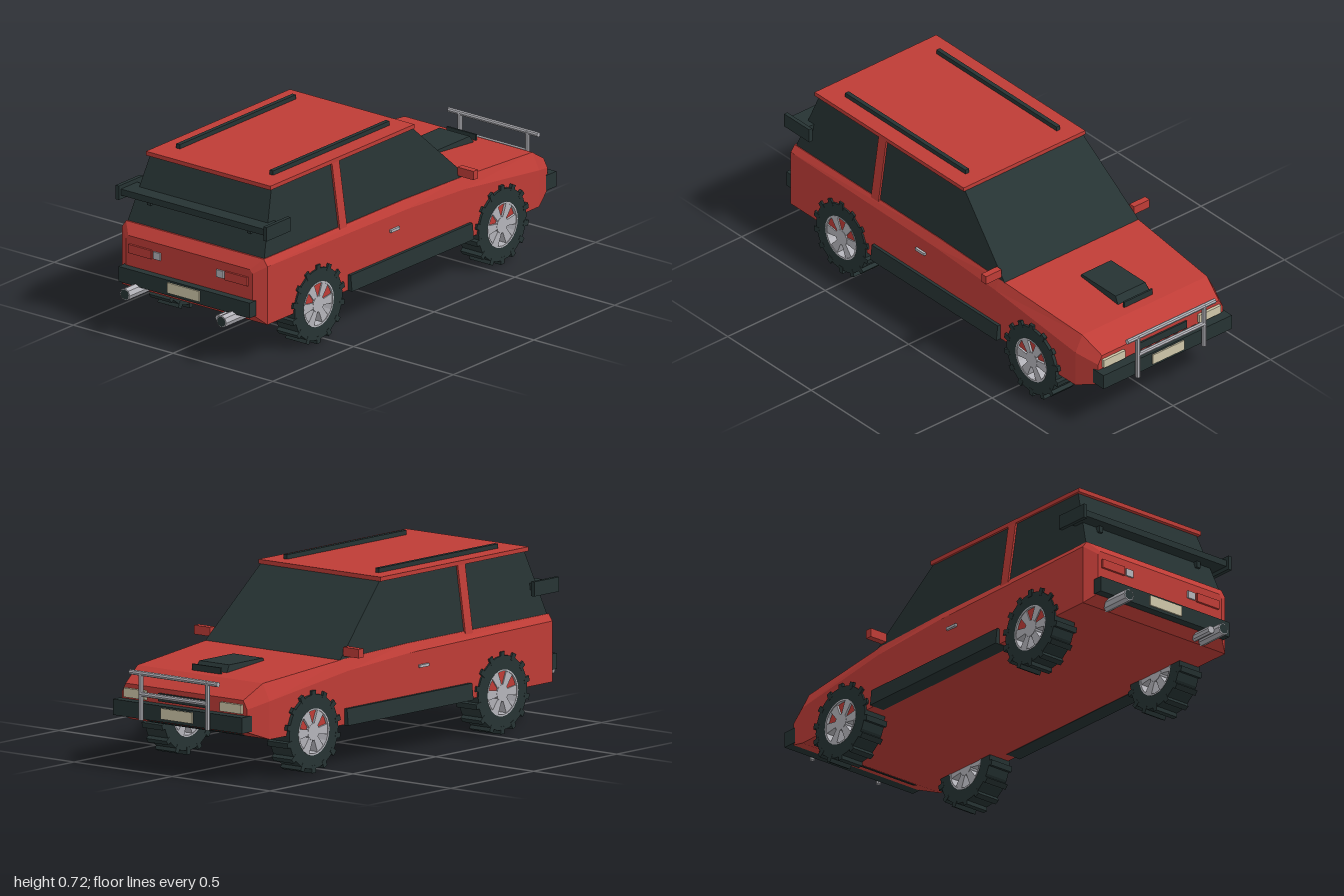
import * as THREE from 'three';

const mat = (name, color, extra = {}) => {
  const m = new THREE.MeshStandardMaterial({ color, flatShading: true, ...extra });
  m.name = name;
  return m;
};

// Closed faceted solid from rings of [x, y, z], each counterclockwise seen from outside the first ring
function loft(rings) {
  const pos = [], n = rings[0].length;
  const tri = (...p) => p.forEach(q => pos.push(...q));
  for (let i = 0; i < rings.length - 1; i++) {
    for (let j = 0; j < n; j++) {
      const k = (j + 1) % n;
      const a = rings[i][j], b = rings[i][k], c = rings[i + 1][k], d = rings[i + 1][j];
      tri(a, d, c);
      tri(a, c, b);
    }
  }
  const last = rings[rings.length - 1];
  for (let j = 1; j < n - 1; j++) {
    tri(rings[0][0], rings[0][j], rings[0][j + 1]);
    tri(last[0], last[j + 1], last[j]);
  }
  const g = new THREE.BufferGeometry();
  g.setAttribute('position', new THREE.Float32BufferAttribute(pos, 3));
  g.computeVertexNormals();
  return g;
}

// Horizontal rectangle ring for upright tapered solids
const rect = (y, w, z0, z1) => [[-w, y, z1], [w, y, z1], [w, y, z0], [-w, y, z0]];

export function createModel() {
  const car = new THREE.Group();
  car.name = 'offRoadCar';
  const red = mat('red paint', 0xbe3c36);
  const dark = mat('dark trim', 0x263333);
  const metal = mat('grey metal', 0xb4b4ba);
  const cream = mat('cream lamp', 0xcfc7a9);

  const add = (name, geo, material, parent = car) => {
    const m = new THREE.Mesh(geo, material);
    m.name = name;
    parent.add(m);
    return m;
  };
  // Box given by its x, y and z ranges
  const box = (name, material, x0, x1, y0, y1, z0, z1, parent = car) => {
    const m = add(name, new THREE.BoxGeometry(x1 - x0, y1 - y0, z1 - z0), material, parent);
    m.position.set((x0 + x1) / 2, (y0 + y1) / 2, (z0 + z1) / 2);
    return m;
  };
  // The same box on both sides
  const pair = (name, material, x0, x1, ...r) => {
    box(name + 'Left', material, x0, x1, ...r);
    box(name + 'Right', material, -x1, -x0, ...r);
  };

  // Body shell: z, half width, bottom, shoulder, top, top half width
  const sections = [
    [0.9, 0.317, 0.205, 0.375, 0.39, 0.305],
    [0.865, 0.364, 0.164, 0.405, 0.432, 0.345],
    [0, 0.364, 0.164, 0.395, 0.43, 0.345],
    [-0.36, 0.364, 0.164, 0.375, 0.42, 0.345],
    [-0.83, 0.355, 0.164, 0.315, 0.382, 0.32],
    [-0.925, 0.32, 0.2, 0.29, 0.325, 0.3],
  ];
  add('body', loft(sections.map(([z, w, b, s, t, wt]) =>
    [[-w, b, z], [w, b, z], [w, s, z], [wt, t, z], [-wt, t, z], [-w, s, z]])), red);

  // Cabin
  add('windows', loft([rect(0.69, 0.303, -0.105, 0.765), rect(0.41, 0.345, -0.4, 0.865)]), dark);
  add('doorPillars', loft([rect(0.692, 0.311, 0.355, 0.4), rect(0.41, 0.353, 0.355, 0.4)]), red);
  box('roof', red, -0.312, 0.312, 0.687, 0.704, -0.11, 0.782);
  pair('roofRail', dark, 0.225, 0.243, 0.703, 0.722, -0.04, 0.68);
  pair('mirror', red, 0.34, 0.42, 0.43, 0.466, -0.37, -0.342);
  pair('doorHandle', metal, 0.36, 0.374, 0.33, 0.341, 0.055, 0.11);

  // Side skirts, flared toward the bottom
  for (const s of [1, -1]) {
    const x = s * 0.35;
    const ring = (y, w) => rect(y, w, -0.39, 0.365).map(([a, b, c]) => [a + x, b, c]);
    add('sideSkirt', loft([ring(0.228, 0.027), ring(0.162, 0.034)]), dark);
  }

  // Bonnet scoop
  add('bonnetScoop', loft([rect(0.416, 0.076, -0.745, -0.54), rect(0.37, 0.083, -0.775, -0.53)]), dark);
  box('scoopLip', dark, -0.073, 0.073, 0.37, 0.41, -0.793, -0.785);

  // Bumpers and plates
  box('tailBumper', dark, -0.329, 0.329, 0.202, 0.265, 0.88, 0.932);
  box('noseBumper', dark, -0.329, 0.329, 0.202, 0.265, -0.968, -0.905);
  box('tailPlate', cream, -0.08, 0.08, 0.214, 0.257, 0.93, 0.938);
  box('nosePlate', cream, -0.08, 0.08, 0.214, 0.257, -0.974, -0.966);

  // Lamps and grilles
  pair('tailLamp', red, 0.185, 0.298, 0.321, 0.357, 0.895, 0.909);
  pair('reverseLamp', metal, 0.14, 0.176, 0.324, 0.354, 0.899, 0.907);
  pair('headLamp', cream, 0.19, 0.3, 0.272, 0.308, -0.937, -0.915);
  box('grille', dark, -0.13, 0.13, 0.274, 0.306, -0.932, -0.92);
  const slot = box('lowerIntake', dark, -0.24, 0.24, 0.17, 0.178, -0.864, -0.84);
  slot.rotation.x = 0.37;

  // Tail spoiler
  const spoiler = new THREE.Group();
  spoiler.name = 'spoiler';
  car.add(spoiler);
  box('blade', dark, -0.362, 0.362, 0.536, 0.562, 0.775, 0.875, spoiler);
  for (const s of [1, -1]) {
    const end = box('endPlate', dark, -0.008, 0.008, 0.52, 0.578, 0.738, 0.888, spoiler);
    end.position.x = s * 0.37;
    const stay = box('stay', dark, -0.009, 0.009, 0.51, 0.54, 0.79, 0.84, spoiler);
    stay.position.x = s * 0.25;
  }

  // Exhaust pipes with dark mouths
  const pipe = (x, y, r, z1, mouth) => {
    const p = add('exhaust', new THREE.CylinderGeometry(r, r, z1 - 0.86, 8), metal);
    p.rotation.x = Math.PI / 2;
    p.position.set(x, y, (z1 + 0.86) / 2);
    if (mouth) add('exhaustMouth', new THREE.CircleGeometry(r * 0.84, 8), dark).position.set(x, y, z1 + 0.001);
  };
  pipe(0.242, 0.187, 0.025, 0.999, true);
  pipe(-0.242, 0.187, 0.025, 0.999, true);
  pipe(0.203, 0.183, 0.016, 0.97, false);

  // Bull bar
  const tube = (name, len, x, y, across) => {
    const t = add(name, new THREE.CylinderGeometry(0.01, 0.01, len, 8), metal);
    if (across) t.rotation.z = Math.PI / 2;
    t.position.set(x, y, -0.987);
  };
  tube('bullBarTop', 0.45, 0, 0.387, true);
  tube('bullBarMiddle', 0.34, 0, 0.305, true);
  tube('bullBarPost', 0.19, 0.17, 0.297);
  tube('bullBarPost', 0.19, -0.17, 0.297);

  // Wheels: hollow tyre with tread blocks, rim ring and six flared spokes
  const ringShape = (ro, ri, depth, seg) => {
    const shape = new THREE.Shape().absarc(0, 0, ro, 0, Math.PI * 2);
    shape.holes.push(new THREE.Path().absarc(0, 0, ri, 0, Math.PI * 2, true));
    return new THREE.ExtrudeGeometry(shape, { depth, bevelEnabled: false, curveSegments: seg })
      .translate(0, 0, -depth / 2);
  };
  const tyreGeo = ringShape(0.148, 0.092, 0.102, 12);
  const rimGeo = ringShape(0.093, 0.086, 0.104, 12);
  const lugGeo = new THREE.BoxGeometry(0.022, 0.03, 0.104).translate(0, 0.148, 0);
  const hubGeo = new THREE.CylinderGeometry(0.034, 0.034, 0.1, 12).rotateX(Math.PI / 2);
  const spokeShape = new THREE.Shape([[-0.011, 0.02], [0.011, 0.02], [0.021, 0.09], [-0.021, 0.09]]
    .map(p => new THREE.Vector2(...p)));
  const spokeGeo = new THREE.ExtrudeGeometry(spokeShape, { depth: 0.098, bevelEnabled: false })
    .translate(0, 0, -0.049);
  for (const s of [1, -1]) {
    for (const z of [0.556, -0.583]) {
      const wheel = new THREE.Group();
      wheel.name = 'wheel';
      wheel.position.set(s * 0.32, 0.163, z);
      wheel.rotation.y = s * Math.PI / 2;
      car.add(wheel);
      add('tyre', tyreGeo, dark, wheel);
      add('rim', rimGeo, metal, wheel);
      add('hub', hubGeo, metal, wheel);
      for (let i = 0; i < 14; i++) add('treadBlock', lugGeo, dark, wheel).rotation.z = i * Math.PI / 7;
      for (let i = 0; i < 6; i++) add('spoke', spokeGeo, metal, wheel).rotation.z = (i + 0.5) * Math.PI / 3;
    }
  }
  return car;
}
